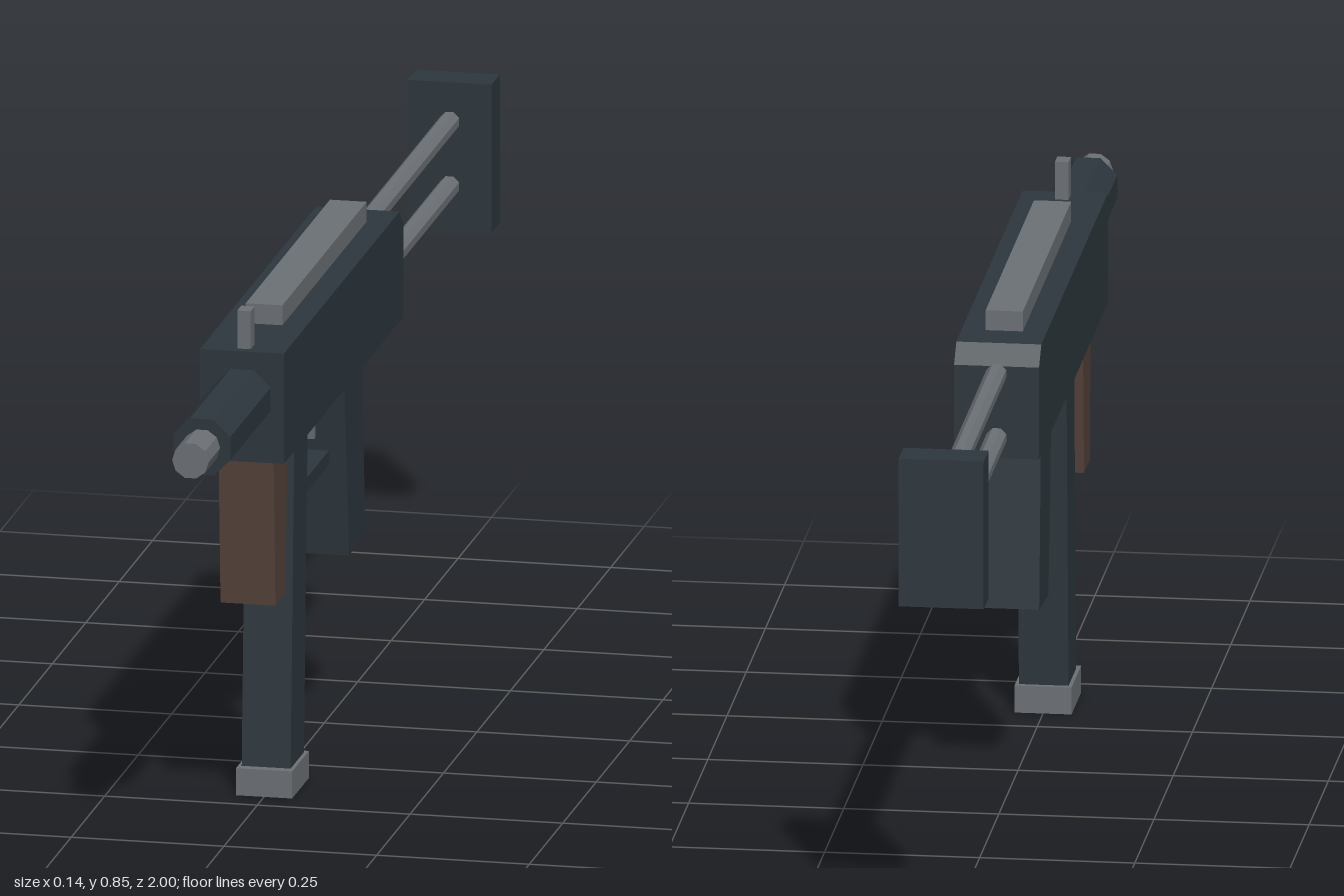
import * as THREE from 'three';

export function createModel() {
  const model = new THREE.Group();
  const mat = (name, color) => {
    const m = new THREE.MeshStandardMaterial({ color, flatShading: true });
    m.name = name;
    return m;
  };
  const dark = mat('dark gunmetal', 0x2d373e);
  const grey = mat('steel grey', 0x6c7176);
  const brown = mat('brown grip', 0x54413a);

  const add = (name, geometry, material) => {
    const mesh = new THREE.Mesh(geometry, material);
    mesh.name = name;
    model.add(mesh);
    return mesh;
  };

  // Side profile of [z, y] points, extruded evenly across x
  const slab = (name, points, width, material) => {
    const shape = new THREE.Shape(points.map(([z, y]) => new THREE.Vector2(z, y)));
    const g = new THREE.ExtrudeGeometry(shape, { depth: width, bevelEnabled: false });
    g.translate(0, 0, -width / 2).rotateY(-Math.PI / 2);
    return add(name, g, material);
  };

  const block = (name, z0, z1, y0, y1, width, material) => {
    const g = new THREE.BoxGeometry(width, y1 - y0, z1 - z0);
    g.translate(0, (y0 + y1) / 2, (z0 + z1) / 2);
    return add(name, g, material);
  };

  // Cylinder lying along z
  const rod = (name, z0, z1, y, radius, sides, material) => {
    const g = new THREE.CylinderGeometry(radius, radius, z1 - z0, sides);
    g.rotateY(Math.PI / sides).rotateX(Math.PI / 2);
    g.translate(0, y, (z0 + z1) / 2);
    return add(name, g, material);
  };

  // Body with chamfered rear top edge
  slab('receiver', [[0.615, 0.602], [0.615, 0.785], [-0.25, 0.785], [-0.28, 0.755], [-0.28, 0.602]], 0.137, dark);
  block('topRail', -0.18, 0.45, 0.78, 0.818, 0.06, grey);
  block('frontSight', 0.57, 0.6, 0.78, 0.848, 0.022, grey);

  // Barrel
  rod('barrelShroud', 0.6, 0.915, 0.708, 0.0505, 8, dark);
  rod('muzzle', 0.9, 1, 0.708, 0.03, 10, grey);

  // Grips and magazine
  slab('foregrip', [[0.585, 0.61], [0.48, 0.61], [0.495, 0.353], [0.57, 0.353]], 0.09, brown);
  slab('magazine', [[0.405, 0.61], [0.305, 0.61], [0.335, 0.03], [0.435, 0.03]], 0.08, dark);
  block('magazineBase', 0.325, 0.45, 0, 0.045, 0.092, grey);
  slab('pistolGrip', [[0.065, 0.61], [-0.071, 0.61], [-0.096, 0.297], [0.024, 0.287]], 0.092, dark);

  // Trigger and its guard
  slab('triggerGuard', [
    [0.24, 0.61], [0.24, 0.46], [0.22, 0.443], [0.03, 0.443], [0.03, 0.466],
    [0.217, 0.466], [0.217, 0.61],
  ], 0.036, dark);
  slab('trigger', [[0.132, 0.61], [0.11, 0.61], [0.11, 0.505], [0.122, 0.505]], 0.02, grey);

  // Skeleton stock
  for (const [name, y] of [['upperStockRod', 0.743], ['lowerStockRod', 0.636]]) {
    rod(name, -0.945, -0.27, y, 0.017, 8, grey);
  }
  block('buttPlate', -1, -0.937, 0.562, 0.808, 0.137, dark);

  return model;
}
